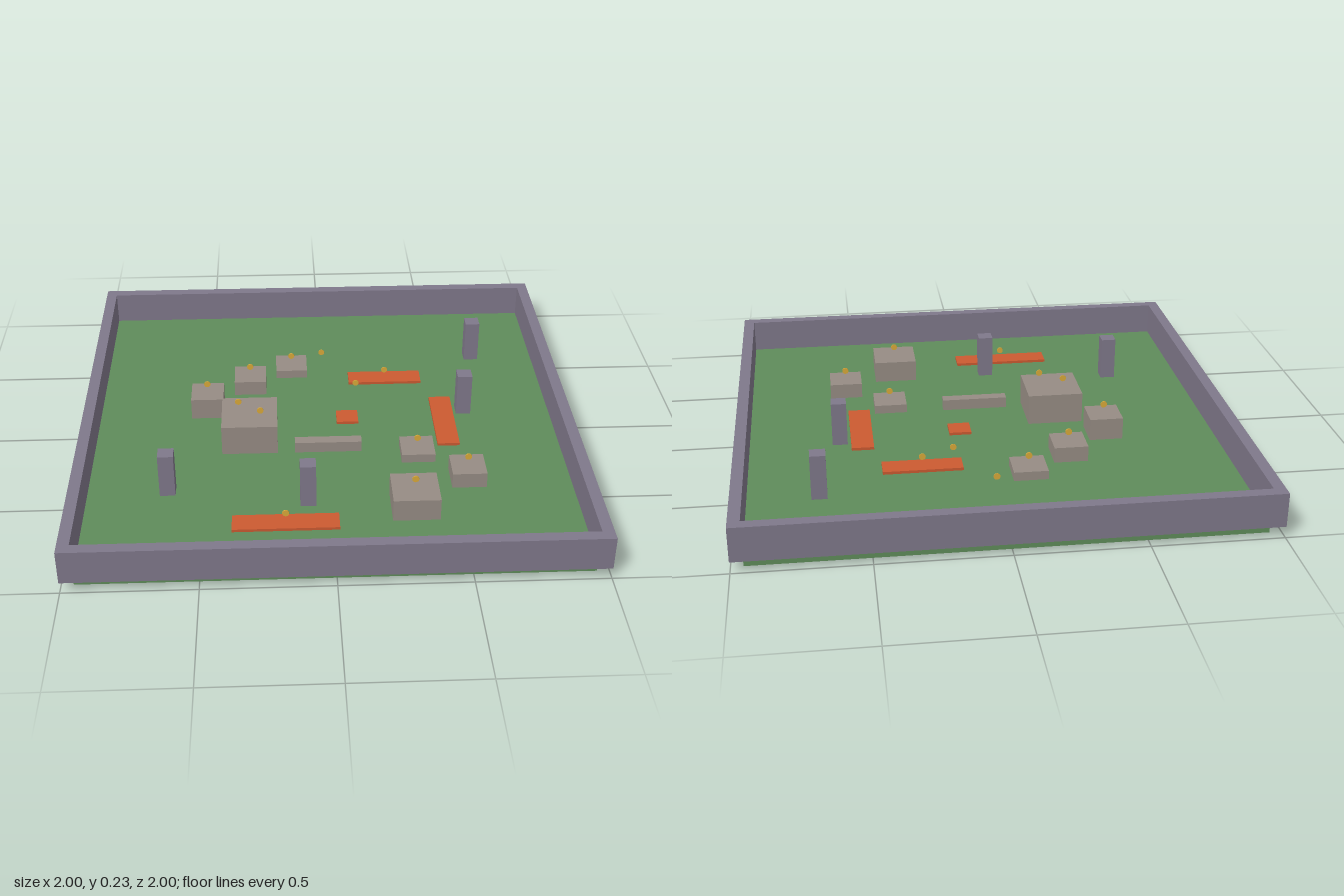
import * as THREE from 'three';

const U = 1 / 22;      // one grid unit of the arena
const FLOOR = U;       // height of the floor's top

const mat = (name, color) => {
  const m = new THREE.MeshStandardMaterial({ color });
  m.name = name;
  return m;
};

export function createModel() {
  const grass = mat('grass green', 0x5f8c5a);
  const stone = mat('purple grey stone', 0x7f788a);
  const rock = mat('warm grey rock', 0x968c84);
  const lava = mat('lava orange', 0xcb5a31);
  const gold = mat('coin gold', 0xd9a93a);

  const model = new THREE.Group();
  model.name = 'arena';

  const add = (name, geometry, material, x, y, z) => {
    const mesh = new THREE.Mesh(geometry, material);
    mesh.name = name;
    mesh.position.set(x, y, z);
    model.add(mesh);
    return mesh;
  };
  // Box standing on height "base"; width, height and depth in grid units
  const block = (name, material, x, z, w, h, d, base = FLOOR) =>
    add(name, new THREE.BoxGeometry(w * U, h * U, d * U), material, x, base + h * U / 2, z);

  // Floor slab
  block('floor', grass, 0, 0, 42, 1, 42, 0);

  // Surrounding wall: a square frame, one unit thick
  const square = (shape, r) => {
    shape.moveTo(-r, -r);
    shape.lineTo(r, -r);
    shape.lineTo(r, r);
    shape.lineTo(-r, r);
    shape.closePath();
    return shape;
  };
  const frame = square(new THREE.Shape(), 1);
  frame.holes.push(square(new THREE.Path(), 1 - U));
  const wall = new THREE.ExtrudeGeometry(frame, { depth: 3 * U, bevelEnabled: false });
  wall.rotateX(-Math.PI / 2);
  add('wall', wall, stone, 0, FLOOR, 0);

  // Pillars
  for (const [x, z] of [[-0.64, 0.453], [-0.093, 0.543], [0.588, -0.094], [0.68, -0.55]])
    block('pillar', stone, x, z, 1.35, 4, 1.35);

  // Upright coins facing the front
  const coin = (x, y, z, thickness = 0.005) => {
    const g = new THREE.CylinderGeometry(0.3 * U, 0.3 * U, thickness, 12);
    g.rotateX(Math.PI / 2);
    add('coin', g, gold, x, y, z);
  };

  // Rock platforms: x, z, side, height; the small ones carry a coin
  const platforms = [
    [-0.5, -0.14, 3, 2], [-0.32, -0.323, 3, 1.4], [-0.138, -0.458, 3, 0.8],
    [0.362, 0.226, 3, 0.8], [0.545, 0.408, 3, 1.4], [0.317, 0.59, 4, 2],
  ];
  for (const [x, z, side, h] of platforms) {
    block('platform', rock, x, z, side, h, side);
    coin(x, FLOOR + (h + 0.8) * U, z);
  }
  block('largePlatform', rock, -0.32, 0.09, 5, 2.8, 5);
  coin(-0.275, 0.209, 0.135);
  coin(-0.365, 0.209, 0.065, 0.003);
  block('lowWall', rock, 0, 0.181, 6, 1, 1);

  // Lava strips
  for (const [x, z, w, d] of [[0.272, -0.365, 7, 2], [0.498, -0.003, 2, 8], [0.09, -0.047, 2, 2], [-0.182, 0.682, 9, 2]])
    block('lavaStrip', lava, x, z, w, 0.25, d);

  // Coins low over the floor and the lava
  coin(0, 0.082, -0.548, 0.003);
  coin(0.14, 0.082, -0.275, 0.003);
  coin(0.272, 0.092, -0.365, 0.003);
  coin(-0.182, 0.095, 0.682);

  return model;
}
